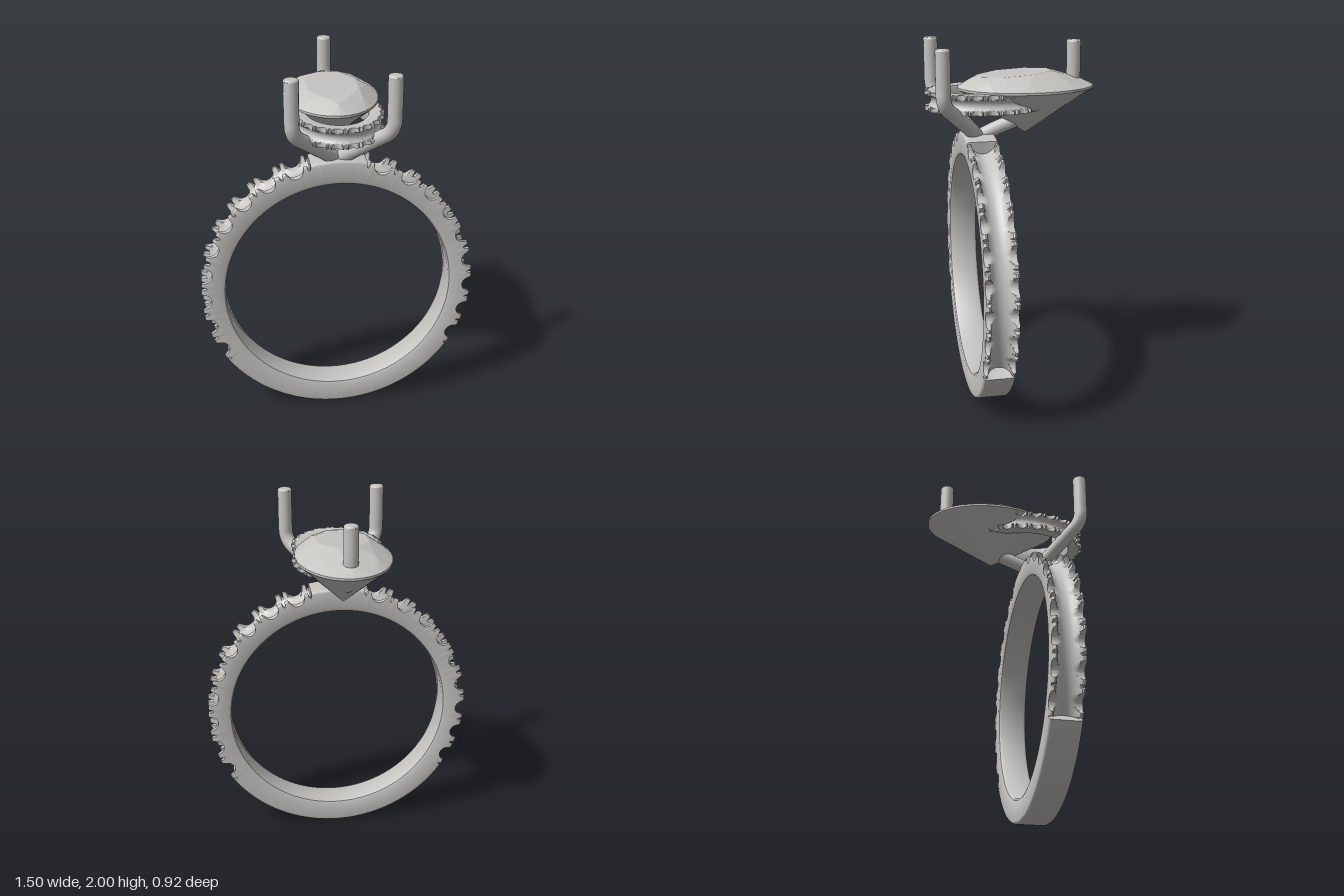
import * as THREE from 'three';
import { toCreasedNormals } from 'three/addons/utils/BufferGeometryUtils.js';
import { ConvexGeometry } from 'three/addons/geometries/ConvexGeometry.js';

const STEPS_ACROSS = 18;

// Closed rail: a cross-section swept round a loop, its outer height set by a rule.
// frame(t) gives base point, outward normal and axis; height(t, w) the outer depth.
function railGeometry(steps, halfWidth, bevel, frame, height) {
  const pos = [], idx = [];
  const inner = [[-halfWidth, bevel], [-halfWidth + bevel * 0.3, bevel * 0.3], [-halfWidth + bevel, 0]];
  const innerLoop = [...inner, ...inner.map(([w, d]) => [-w, d]).reverse()];
  const count = innerLoop.length + STEPS_ACROSS + 1;
  for (let i = 0; i < steps; i++) {
    const t = i / steps;
    const { p, n, axis } = frame(t);
    const add = (w, d) => {
      const v = p.clone().addScaledVector(n, d).addScaledVector(axis, w);
      pos.push(v.x, v.y, v.z);
    };
    innerLoop.forEach(([w, d]) => add(w, d));
    for (let k = 0; k <= STEPS_ACROSS; k++) {
      // samples crowd towards the edges
      const w = halfWidth * Math.cos((k / STEPS_ACROSS) * Math.PI);
      add(w, height(t, w));
    }
    const next = (i + 1) % steps;
    for (let j = 0; j < count; j++) {
      const j2 = (j + 1) % count;
      const a = i * count + j, b = i * count + j2, c = next * count + j, d = next * count + j2;
      idx.push(a, b, c, b, d, c);
    }
  }
  const g = new THREE.BufferGeometry();
  g.setAttribute('position', new THREE.Float32BufferAttribute(pos, 3));
  g.setIndex(idx);
  return toCreasedNormals(g, 0.6);
}

// Rounded outer edge of a plain rail
function edge(top, w, halfWidth, r) {
  const over = Math.max(0, Math.abs(w) - (halfWidth - r));
  return top - r + Math.sqrt(Math.max(0, r * r - over * over));
}

// Stone setting: lengthwise channel, round notch at each stone, slit between beads
function setting(base, s, w, o) {
  let d = base;
  if (Math.abs(w) < o.channel) d = Math.min(d, o.top - o.depth * Math.sqrt(1 - (w / o.channel) ** 2));
  if (Math.abs(s) < o.notch) d = Math.min(d, o.top - o.sink - Math.sqrt(o.notch ** 2 - s * s));
  if (o.pitch / 2 - Math.abs(s) < o.slit) d = Math.min(d, o.top - o.slitDepth);
  return d;
}

export function createModel() {
  const model = new THREE.Group();
  const silver = new THREE.MeshStandardMaterial({ color: 0xc6c4c1 });
  silver.name = 'silver grey';
  const addMesh = (name, geometry) => {
    const m = new THREE.Mesh(geometry, silver);
    m.name = name;
    model.add(m);
  };

  // Finger band: plain below and at the top, nine stone settings on each side
  const R = 0.6175, H = 0.135, W = 0.086;
  const pitchDeg = 12.4, firstDeg = -27.4;
  const bandSet = { top: H, channel: 0.066, depth: 0.068, notch: 0.044, sink: 0.01,
    pitch: 0.16, slit: 0.007, slitDepth: 0.03 };
  const bandFrame = (t) => {
    const a = t * Math.PI * 2;
    const n = new THREE.Vector3(Math.cos(a), Math.sin(a), 0);
    return { p: n.clone().multiplyScalar(R).add(new THREE.Vector3(0, R + H, 0.17)), n, axis: new THREE.Vector3(0, 0, 1) };
  };
  const bandHeight = (t, w) => {
    const base = edge(H, w, W, 0.015);
    let deg = t * 360;
    if (deg > 270) deg -= 360;
    if (deg > 90) deg = 180 - deg; // mirror left and right
    const u = (deg - firstDeg) / pitchDeg;
    if (u < -0.5 || u > 8.5) return base;
    return setting(base, (u - Math.round(u)) * bandSet.pitch, w, bandSet);
  };
  addMesh('fingerBand', railGeometry(720, W, 0.022, bandFrame, bandHeight));

  // Oval halo under the stone, with settings facing outward
  const stones = 22, hH = 0.085, hW = 0.053;
  const haloSet = { top: hH, channel: 0.034, depth: 0.036, notch: 0.025, sink: 0,
    pitch: 0.078, slit: 0.006, slitDepth: 0.02 };
  const haloFrame = (t) => {
    const a = t * Math.PI * 2, c = Math.cos(a), s = Math.sin(a);
    return {
      p: new THREE.Vector3(0.165 * c, 1.697, 0.13 + 0.245 * s),
      n: new THREE.Vector3(c / 0.165, 0, s / 0.245).normalize(),
      axis: new THREE.Vector3(0, -1, 0),
    };
  };
  const haloHeight = (t, w) => {
    const u = t * stones;
    return setting(edge(hH, w, hW, 0.01), (u - Math.round(u)) * haloSet.pitch, w, haloSet);
  };
  addMesh('halo', railGeometry(stones * 18, hW, 0.012, haloFrame, haloHeight));

  // Faceted oval stone: girdle, crown facets, gently sloping table and culet
  const points = [];
  const oval = (count, rx, rz, cz, turn, y) => {
    for (let i = 0; i < count; i++) {
      const a = ((i + turn) / count) * Math.PI * 2;
      const z = cz + rz * Math.sin(a);
      points.push(new THREE.Vector3(rx * Math.cos(a), y(z), z));
    }
  };
  oval(32, 0.255, 0.372, -0.092, 0, () => 1.748);
  oval(32, 0.255, 0.372, -0.092, 0, () => 1.76);
  oval(8, 0.2, 0.295, -0.075, 0, () => 1.803);
  oval(8, 0.145, 0.205, -0.03, 0.5, (z) => 1.829 - 0.06 * z);
  points.push(new THREE.Vector3(0, 1.5, -0.09));
  addMesh('ovalStone', new ConvexGeometry(points));

  // Three claws rising from the top of the band
  const claw = (name, path) => {
    const curve = new THREE.CatmullRomCurve3(path.map((p) => new THREE.Vector3(...p)), false, 'centripetal');
    const r = 0.039, top = path[path.length - 1];
    addMesh(name, new THREE.TubeGeometry(curve, 48, r, 16));
    const cap = new THREE.LatheGeometry([[r, -0.01], [r * 0.93, -0.003], [r * 0.8, 0], [0, 0]]
      .map(([x, y]) => new THREE.Vector2(x, y)), 16);
    cap.translate(top[0], 2, top[2]);
    addMesh(name + 'Tip', cap);
  };
  for (const [side, k] of [['left', 1], ['right', -1]]) {
    claw(side + 'FrontClaw', [[0, 1.485, 0.17], [k * 0.08, 1.555, 0.238], [k * 0.19, 1.648, 0.33],
      [k * 0.235, 1.69, 0.37], [k * 0.255, 1.735, 0.388], [k * 0.258, 1.8, 0.39], [k * 0.258, 1.99, 0.39]]);
  }
  claw('backClaw', [[0, 1.49, 0.16], [0, 1.535, 0.06], [0, 1.625, -0.19], [0, 1.672, -0.29],
    [0, 1.72, -0.338], [0, 1.79, -0.355], [0, 1.99, -0.357]]);

  return model;
}
